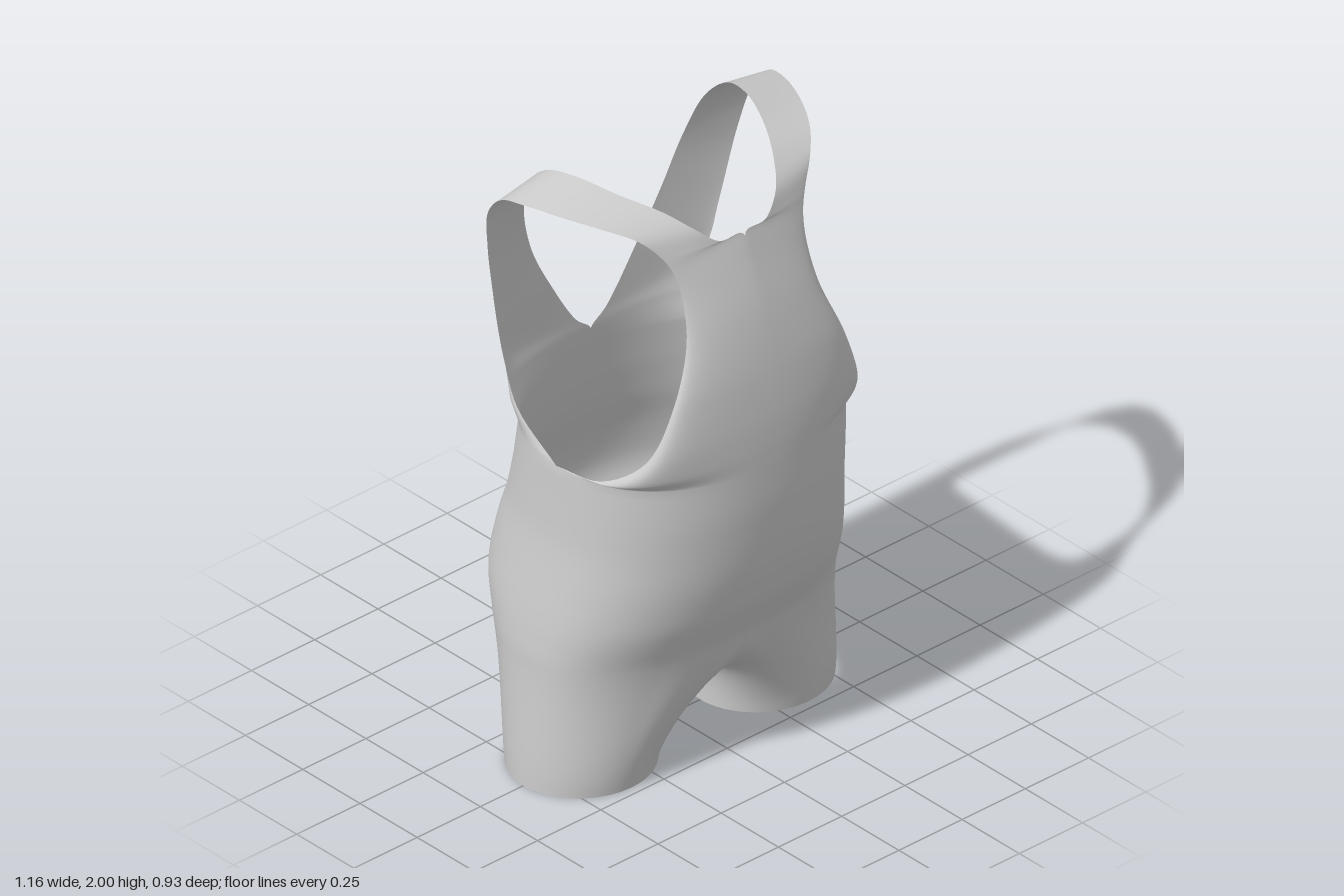
import * as THREE from 'three';
import { mergeGeometries, mergeVertices } from 'three/addons/utils/BufferGeometryUtils.js';

const P = 0.86;                 // squareness of the body cross-section
const Y0 = 0.45, Y1 = 1.1;      // body from crotch level to armhole level
const V = (x, y, z) => new THREE.Vector3(x, y, z);
const pw = (a) => Math.pow(Math.max(a, 0), P);

// surface from fn(u, v); side -1 mirrors it in x
function sheet(cols, rows, side, fn) {
  const pos = [], idx = [];
  for (let j = 0; j <= rows; j++)
    for (let i = 0; i <= cols; i++) {
      const p = fn(i / cols, j / rows);
      pos.push(p.x * side, p.y, p.z);
    }
  for (let j = 0; j < rows; j++)
    for (let i = 0; i < cols; i++) {
      const a = j * (cols + 1) + i, b = a + 1, c = a + cols + 1, d = c + 1;
      if (side > 0) idx.push(a, b, d, a, d, c);
      else idx.push(a, d, b, a, c, d);
    }
  const g = new THREE.BufferGeometry();
  g.setAttribute('position', new THREE.Float32BufferAttribute(pos, 3));
  g.setIndex(idx);
  return g;
}

// body profile at even heights: half width, front z, back z
const profile = new THREE.CatmullRomCurve3([
  V(0.56, 0.335, -0.41), V(0.545, 0.395, -0.465), V(0.525, 0.43, -0.447),
  V(0.507, 0.45, -0.405), V(0.5, 0.462, -0.375), V(0.495, 0.465, -0.355),
]);

// half ring of the body, u = 0 front centre to u = 1 back centre
function body(u, v) {
  const s = profile.getPoint(v), a = u * Math.PI, zc = 0.05 * v;
  const c = Math.cos(a);
  const z = c >= 0 ? zc + (s.y - zc) * pw(c) : zc + (s.z - zc) * pw(-c);
  return V(u === 0 || u === 1 ? 0 : s.x * pw(Math.sin(a)), Y0 + (Y1 - Y0) * v, z);
}

// leg: hem ellipse rising to the half ring (outer) and the crotch seam (inner)
const OUT = 2 / 3;
function leg(u, v) {
  const outer = u <= OUT + 1e-9;
  const k = outer ? Math.min(u / OUT, 1) : (u - OUT) / (1 - OUT);
  const deg = outer ? 115 - 230 * k : -115 - 130 * k;
  const a = THREE.MathUtils.degToRad(deg);
  const hem = V(0.35 + 0.23 * Math.cos(a), 0, 0.22 * Math.sin(a));
  let top, pull;
  if (outer) {
    top = body(k, 0);
    const g = 1 - Math.min(1, top.x / 0.3);
    pull = V(top.x + 0.1 * g, top.y - 0.16 + 0.08 * g, top.z * (0.84 + 0.1 * g));
  } else {
    const f = body(0, 0).z, b = body(1, 0).z, s = Math.sin(k * Math.PI);
    top = V(0, Y0 - 0.25 * s, (f + b) / 2 - (f - b) / 2 * Math.cos(k * Math.PI));
    pull = V(0.1, top.y - 0.08 * (1 - s), top.z * (0.94 - 0.04 * s));
  }
  const rise = V(hem.x, 0.14, hem.z * 1.13);
  return new THREE.CubicBezierCurve3(hem, rise, pull, top).getPoint(v);
}

// bib, shoulder strap and back strap: [inner edge, outer edge, roundness]
const stations = [
  [V(0, 1.1, 0.465), V(0.495, 1.1, 0.05), 1],
  [V(0, 1.18, 0.464), V(0.47, 1.115, 0.22), 1],
  [V(0, 1.28, 0.458), V(0.405, 1.21, 0.345), 1],
  [V(0, 1.43, 0.438), V(0.33, 1.39, 0.382), 1],
  [V(0, 1.6, 0.4), V(0.26, 1.57, 0.36), 0.8],
  [V(0, 1.75, 0.352), V(0.245, 1.7, 0.325), 0.6],
  [V(0.005, 1.83, 0.325), V(0.255, 1.78, 0.3), 0.4],
  [V(0.09, 1.835, 0.318), V(0.285, 1.84, 0.275), 0.2],
  [V(0.16, 1.89, 0.285), V(0.34, 1.9, 0.235), 0],
  [V(0.22, 1.94, 0.21), V(0.41, 1.935, 0.16), 0],
  [V(0.29, 1.975, 0.09), V(0.47, 1.953, 0.06), 0],
  [V(0.335, 1.997, -0.03), V(0.515, 1.96, -0.06), 0],
  [V(0.355, 1.98, -0.14), V(0.53, 1.945, -0.15), 0],
  [V(0.345, 1.9, -0.228), V(0.525, 1.87, -0.215), 0],
  [V(0.315, 1.75, -0.29), V(0.495, 1.72, -0.25), 0],
  [V(0.255, 1.57, -0.322), V(0.46, 1.55, -0.268), 0.2],
  [V(0.165, 1.4, -0.335), V(0.428, 1.4, -0.28), 0.4],
  [V(0.06, 1.235, -0.343), V(0.402, 1.27, -0.28), 0.7],
  [V(0, 1.18, -0.346), V(0.45, 1.18, -0.17), 0.9],
  [V(0, 1.1, -0.355), V(0.495, 1.1, 0.05), 1],
];
const inner = new THREE.CatmullRomCurve3(stations.map((s) => s[0]));
const outerEdge = new THREE.CatmullRomCurve3(stations.map((s) => s[1]));
function strap(u, v) {
  const a = inner.getPoint(v), b = outerEdge.getPoint(v);
  const t = v * (stations.length - 1), i = Math.min(Math.floor(t), stations.length - 2);
  const w = THREE.MathUtils.lerp(stations[i][2], stations[i + 1][2], t - i);
  const fx = THREE.MathUtils.lerp(u, pw(Math.sin(u * Math.PI / 2)), w);
  const fz = THREE.MathUtils.lerp(u, 1 - pw(Math.cos(u * Math.PI / 2)), w);
  if (a.x < 0.004) a.x = 0;
  return V(a.x + (b.x - a.x) * fx, a.y + (b.y - a.y) * u, a.z + (b.z - a.z) * fz);
}

export function createModel() {
  const group = new THREE.Group();
  group.name = 'sleevelessSuit';
  const parts = [];
  for (const side of [1, -1]) {
    parts.push(sheet(48, 20, side, body));
    parts.push(sheet(72, 18, side, leg));
    parts.push(sheet(24, 114, side, strap));
  }
  // welded so the cloth shades smoothly across the joins
  const geometry = mergeVertices(mergeGeometries(parts), 1e-4);
  geometry.computeVertexNormals();
  const material = new THREE.MeshStandardMaterial({ color: 0xcccccc, side: THREE.DoubleSide });
  const suit = new THREE.Mesh(geometry, material);
  suit.name = 'suitCloth';
  group.add(suit);
  return group;
}
